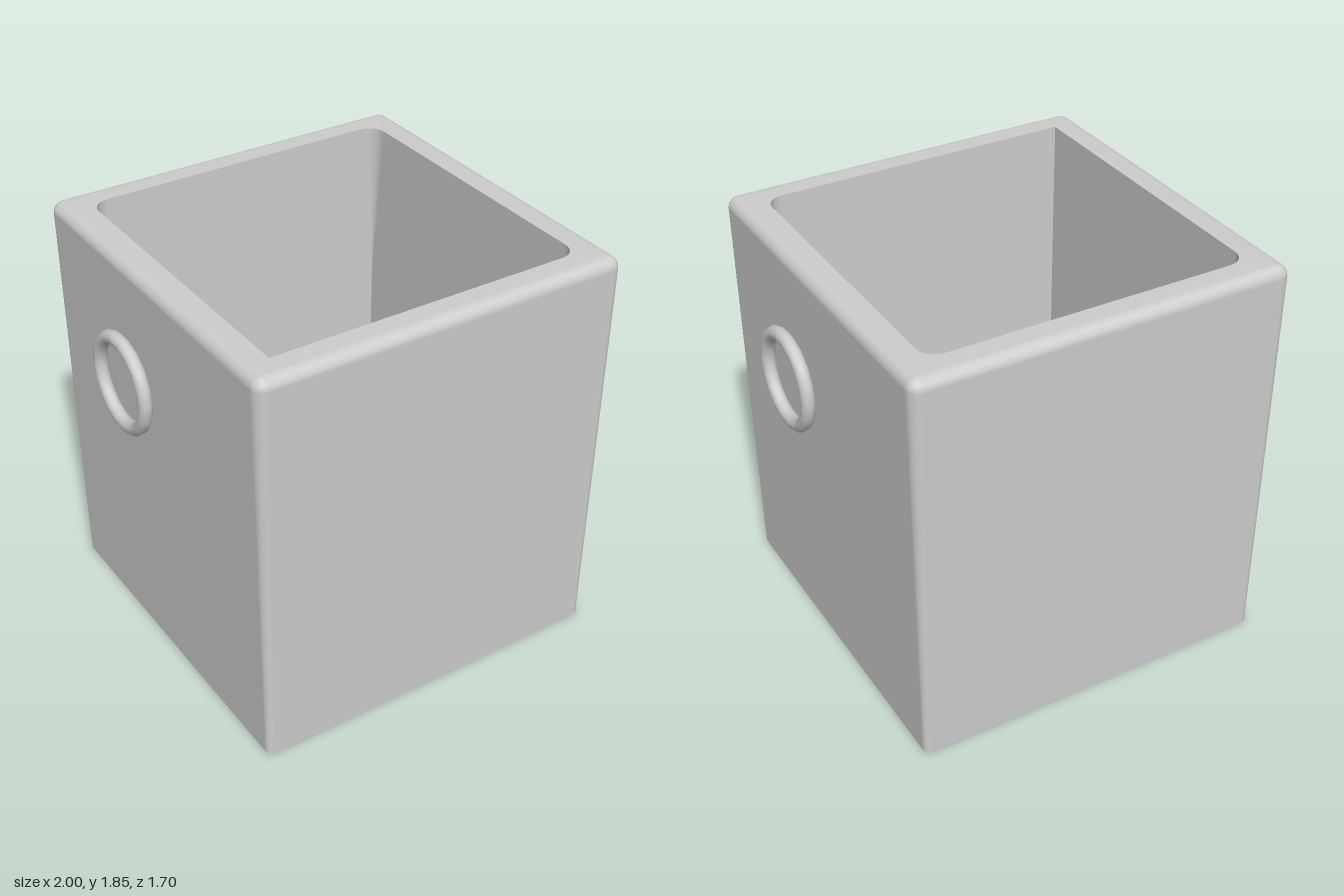
import * as THREE from 'three';

const STEPS = 6; // segments in each rounded corner

// Points of a rounded square, running from +x towards +z
function roundedSquare(half, radius, sharpCorner = -1) {
  const points = [];
  for (let c = 0; c < 4; c++) {
    const sx = c === 0 || c === 3 ? 1 : -1;
    const sz = c < 2 ? 1 : -1;
    const r = c === sharpCorner ? 0.001 : radius;
    for (let i = 0; i <= STEPS; i++) {
      const a = (c + i / STEPS) * Math.PI / 2;
      points.push([sx * (half - r) + r * Math.cos(a), sz * (half - r) + r * Math.sin(a)]);
    }
  }
  return points;
}

// Skin over a list of [height, half width, corner radius, sharp corner]
function loft(sections) {
  const positions = [], index = [];
  const n = 4 * (STEPS + 1);
  for (const [y, half, radius, sharp] of sections) {
    for (const [x, z] of roundedSquare(half, radius, sharp)) positions.push(x, y, z);
  }
  for (let k = 0; k < sections.length - 1; k++) {
    for (let j = 0; j < n; j++) {
      const a = k * n + j, b = k * n + (j + 1) % n;
      index.push(a, a + n, b, b, a + n, b + n);
    }
  }
  const g = new THREE.BufferGeometry();
  g.setAttribute('position', new THREE.Float32BufferAttribute(positions, 3));
  g.setIndex(index);
  g.computeVertexNormals();
  return g;
}

export function createModel() {
  const group = new THREE.Group();
  const grey = new THREE.MeshStandardMaterial({ color: 0xcccccc, side: THREE.DoubleSide });
  grey.name = 'light grey';

  const add = (name, geometry) => {
    const mesh = new THREE.Mesh(geometry, grey);
    mesh.name = name;
    group.add(mesh);
    return mesh;
  };

  // Tapered outer shell, open below, with a rounded top edge and flat rim
  const shell = [[0, 0.83, 0.03]];
  for (let i = 0; i <= 5; i++) {
    const a = i / 5 * Math.PI / 2;
    const inset = 0.05 * (1 - Math.cos(a));
    shell.push([1.8 + 0.05 * Math.sin(a), 0.85 - inset, 0.0505 - inset]);
  }
  shell.push([1.85, 0.72, 0.08, 1]);
  add('outerShell', loft(shell));

  // Inner wall: rounded corners fade to sharp ones further down
  add('innerWall', loft([
    [1.85, 0.72, 0.08, 1], [1.1, 0.72, 0.002, 1], [0.12, 0.72, 0.001, 1],
  ]));

  // Floor recessed above the bottom edge
  const outline = roundedSquare(0.83, 0.03).map(([x, z]) => new THREE.Vector2(x, -z));
  const floor = add('floor', new THREE.ShapeGeometry(new THREE.Shape(outline)));
  floor.rotation.x = -Math.PI / 2;
  floor.position.y = 0.12;

  // A ring beside each side wall
  for (const side of [-1, 1]) {
    const ring = add(side > 0 ? 'leftRing' : 'rightRing', new THREE.TorusGeometry(0.193, 0.03, 12, 18));
    ring.rotation.set(0, Math.PI / 2, 0);
    ring.position.set(side * 0.97, 1.438, 0);
  }
  return group;
}
